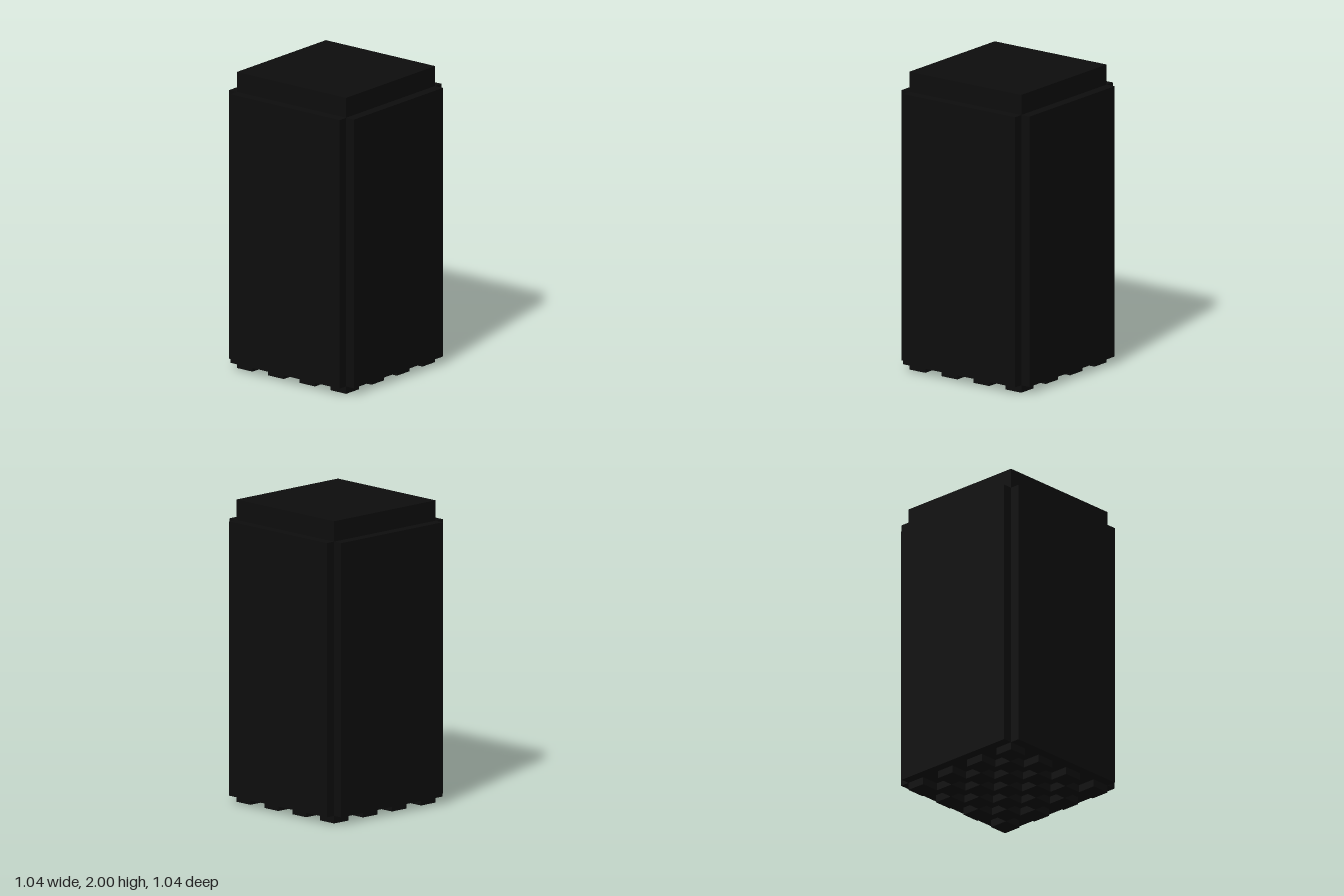
import * as THREE from 'three';

const CORE = 0.91, OUTER = 1.04, TOP = 1.865, FOOT = 0.05;

export function createModel() {
  const group = new THREE.Group();
  const black = new THREE.MeshStandardMaterial({ color: 0x0d0d0d });
  black.name = 'black';

  const addBox = (name, w, h, d, x, y, z) => {
    const mesh = new THREE.Mesh(new THREE.BoxGeometry(w, h, d), black);
    mesh.name = name;
    mesh.position.set(x, y, z);
    group.add(mesh);
    return mesh;
  };

  // Square core, rising above the side panels
  addBox('core', CORE, 2 - FOOT, CORE, 0, (2 + FOOT) / 2, 0);

  // One raised panel on each of the four sides
  const thick = (OUTER - CORE) / 2;
  for (let i = 0; i < 4; i++) {
    const a = i * Math.PI / 2, r = (CORE + thick) / 2;
    const panel = addBox('sidePanel', CORE, TOP - FOOT, thick,
      Math.sin(a) * r, (TOP + FOOT) / 2, Math.cos(a) * r);
    panel.rotation.y = a;
  }

  // Staggered studs under the base
  const n = 7, cell = CORE / n;
  for (let i = 0; i < n; i++) {
    for (let j = i % 2; j < n; j += 2) {
      addBox('baseStud', cell, FOOT, cell, (i - 3) * cell, FOOT / 2, (j - 3) * cell);
    }
  }
  return group;
}
